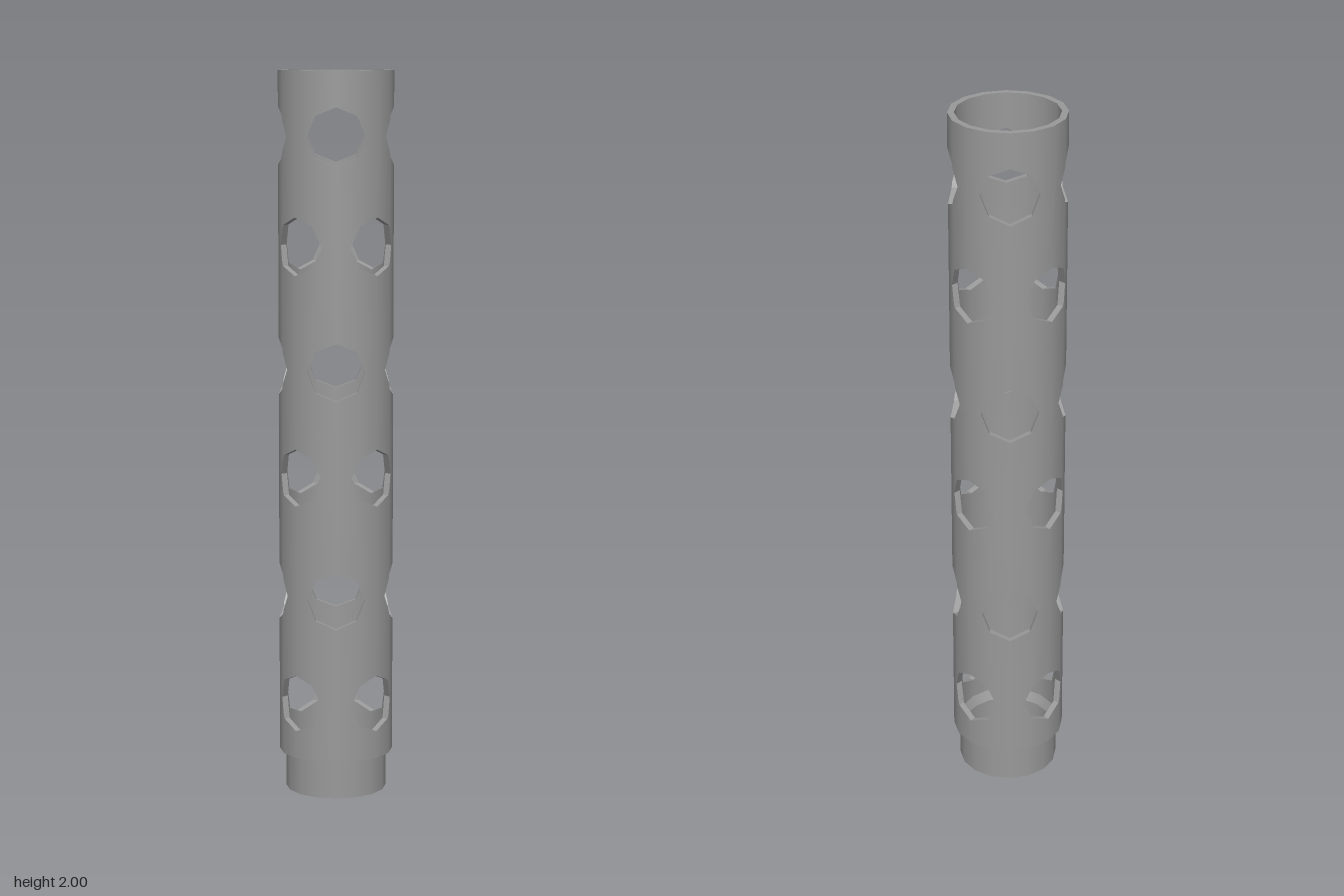
import * as THREE from 'three';

const OUTER = 0.158, INNER = 0.14, HOLE = 0.079, SIDES = 16;
const TOP = 2, LEDGE = 0.108, CHAMFER_TOP = 0.128;
const ROWS = [0.264, 0.561, 0.897, 1.192, 1.529, 1.824];
const S1 = Math.sin(Math.PI / 8), C1 = Math.cos(Math.PI / 8), S2 = Math.SQRT1_2;
const K = HOLE * Math.SQRT1_2;

// depth of the 16-sided tube wall at sideways distance x (first 45 degrees)
function wallZ(x, R) {
  const a = x <= R * S1 ? [0, 1] : [S1, C1];
  const b = x <= R * S1 ? [S1, C1] : [S2, S2];
  const t = (x / R - a[0]) / (b[0] - a[0]);
  return R * (a[1] + (b[1] - a[1]) * t);
}

// half height of the octagonal hole at sideways distance x
function holeH(x) {
  if (x >= HOLE) return 0;
  return x < K ? HOLE - (HOLE - K) * x / K : K * (HOLE - x) / (HOLE - K);
}

// tube wall with octagonal holes, staggered by 45 degrees from row to row
function perforatedWall() {
  const pos = [], nor = [];
  const axis = new THREE.Vector3(0, 1, 0);

  // radial: 1 outward smooth, -1 inward smooth, 0 flat
  function quad(corners, s, angle, flip, radial) {
    const p = corners.map(c => new THREE.Vector3(c[0] * s, c[1], c[2]).applyAxisAngle(axis, angle));
    if (flip) p.reverse();
    for (const tri of [[p[0], p[1], p[2]], [p[0], p[2], p[3]]]) {
      const flat = tri[1].clone().sub(tri[0]).cross(tri[2].clone().sub(tri[0]));
      if (flat.length() < 1e-9) continue;
      flat.normalize();
      for (const v of tri) {
        const n = radial ? new THREE.Vector3(v.x, 0, v.z).normalize().multiplyScalar(radial) : flat;
        pos.push(v.x, v.y, v.z);
        nor.push(n.x, n.y, n.z);
      }
    }
  }

  const holeXs = [0, INNER * S1, K, OUTER * S1, HOLE];
  ROWS.forEach((yc, row) => {
    const hi = row < ROWS.length - 1 ? (yc + ROWS[row + 1]) / 2 : TOP;
    for (let q = 0; q < 4; q++) for (const s of [1, -1]) for (const up of [1, -1]) {
      const angle = q * Math.PI / 2 + (row % 2) * Math.PI / 4;
      const edge = x => yc + up * holeH(x);
      // outer and inner skins
      for (const [R, dir, start] of [[OUTER, 1, LEDGE], [INNER, -1, CHAMFER_TOP]]) {
        const lo = row ? (yc + ROWS[row - 1]) / 2 : start;
        const xs = [...holeXs, R * S2];
        for (let i = 0; i < xs.length - 1; i++) {
          const a = xs[i], b = xs[i + 1], za = wallZ(a, R), zb = wallZ(b, R);
          const c = up > 0
            ? [[a, edge(a), za], [b, edge(b), zb], [b, hi, zb], [a, hi, za]]
            : [[a, lo, za], [b, lo, zb], [b, edge(b), zb], [a, edge(a), za]];
          quad(c, s, angle, s * dir < 0, dir);
        }
      }
      // cut faces through the wall thickness
      for (let i = 0; i < holeXs.length - 1; i++) {
        const a = holeXs[i], b = holeXs[i + 1];
        quad([[a, edge(a), wallZ(a, OUTER)], [b, edge(b), wallZ(b, OUTER)],
          [b, edge(b), wallZ(b, INNER)], [a, edge(a), wallZ(a, INNER)]], s, angle, s * up > 0, 0);
      }
    }
  });

  const g = new THREE.BufferGeometry();
  g.setAttribute('position', new THREE.Float32BufferAttribute(pos, 3));
  g.setAttribute('normal', new THREE.Float32BufferAttribute(nor, 3));
  return g;
}

export function createModel() {
  const model = new THREE.Group();
  model.name = 'perforatedTube';
  const material = new THREE.MeshStandardMaterial({ color: 0x999999 });

  function add(name, geometry) {
    const mesh = new THREE.Mesh(geometry, material);
    mesh.name = name;
    model.add(mesh);
  }
  // one band of revolution between two profile points [radius, y]
  function ring(name, a, b) {
    const g = new THREE.LatheGeometry([new THREE.Vector2(...a), new THREE.Vector2(...b)], SIDES);
    g.normalizeNormals();
    add(name, g);
  }

  add('sleeveWall', perforatedWall());
  ring('topRim', [OUTER, TOP], [INNER, TOP]);

  // narrower collar at the foot, with a chamfer leading into its bore
  const collar = [
    ['innerChamfer', INNER, CHAMFER_TOP], ['collarBore', 0.127, 0.1], ['collarBottom', 0.127, 0],
    ['collarWall', 0.14, 0], ['sleeveLedge', 0.14, LEDGE], ['', OUTER, LEDGE],
  ];
  for (let i = 0; i < collar.length - 1; i++) {
    ring(collar[i][0], collar[i].slice(1), collar[i + 1].slice(1));
  }
  return model;
}
